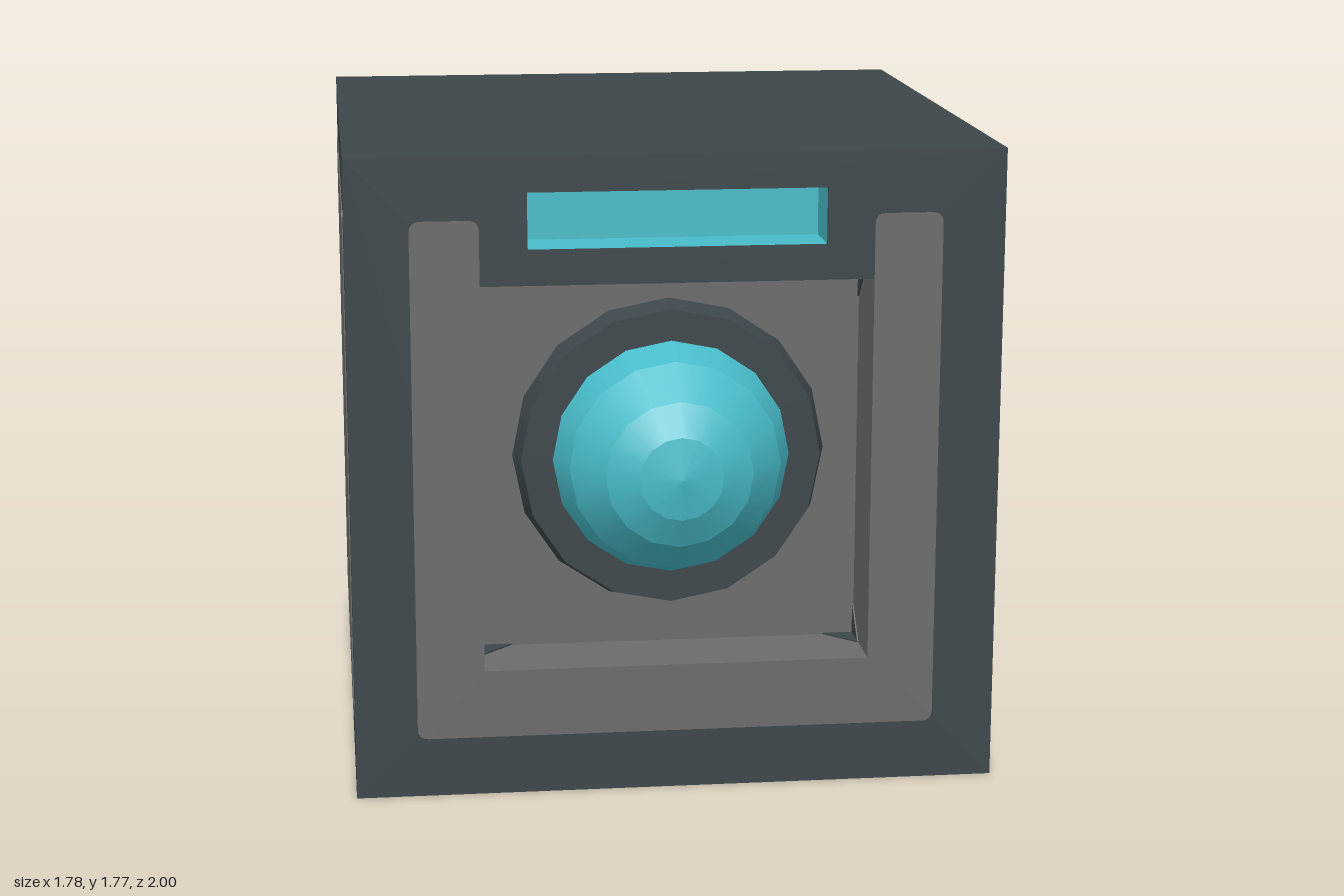
import * as THREE from 'three';

const HALF = 0.885, SIZE = HALF * 2;
const INNER = 0.665;                                  // z of the recess floor
const RECESS = { w: 1.06, h: 1.065, y: 0.8875, d: 0.22 };
const SLOT = { w: 0.8, h: 0.15, y: 1.595, d: 0.15 };
const BALL_Y = 0.905, BALL_R = 0.335;

const dark = new THREE.MeshStandardMaterial({ color: 0x3d474b });
dark.name = 'dark slate';
const grey = new THREE.MeshStandardMaterial({ color: 0x6c6c6c });
grey.name = 'panel grey';
const teal = new THREE.MeshStandardMaterial({ color: 0x48bcca });
teal.name = 'teal';

function add(parent, name, geometry, material, x = 0, y = 0, z = 0) {
  const mesh = new THREE.Mesh(geometry, material);
  mesh.name = name;
  mesh.position.set(x, y, z);
  parent.add(mesh);
  return mesh;
}

const extrude = (shape, depth) => new THREE.ExtrudeGeometry(shape, { depth, bevelEnabled: false, curveSegments: 4 });

function rectPoints(w, h, y) {
  return [[-w / 2, y - h / 2], [w / 2, y - h / 2], [w / 2, y + h / 2], [-w / 2, y + h / 2]]
    .map(([a, b]) => new THREE.Vector2(a, b));
}

// Closed outline; each point is [x, y, corner radius]
function roundedOutline(points) {
  const shape = new THREE.Shape();
  const n = points.length;
  points.forEach(([x, y, r], i) => {
    const toward = (p) => {
      const d = Math.hypot(p[0] - x, p[1] - y);
      return [x + (p[0] - x) * r / d, y + (p[1] - y) * r / d];
    };
    const a = toward(points[(i + n - 1) % n]);
    const b = toward(points[(i + 1) % n]);
    if (i === 0) shape.moveTo(...a); else shape.lineTo(...a);
    if (r > 0) shape.quadraticCurveTo(x, y, ...b);
  });
  shape.closePath();
  return shape;
}

// Inward-facing open box: back and four walls
function addLining(parent, name, { w, h, y, d }, material) {
  const g = new THREE.Group();
  g.name = name;
  g.position.set(0, y, HALF - d);
  add(g, name + 'Back', new THREE.PlaneGeometry(w, h), material, 0, 0, 0.002);
  for (const s of [-1, 1]) {
    add(g, name + 'Side', new THREE.PlaneGeometry(d, h).rotateY(-s * Math.PI / 2), material, s * w / 2, 0, d / 2);
    add(g, name + 'Level', new THREE.PlaneGeometry(w, d).rotateX(s * Math.PI / 2), material, 0, s * h / 2, d / 2);
  }
  parent.add(g);
}

const triangle = (a, b) => extrude(new THREE.Shape([
  new THREE.Vector2(0, 0), new THREE.Vector2(a, 0), new THREE.Vector2(0, b)]), 0.004);

// Dome rising along +z, creased between bands or smooth all over
function addDome(parent, creased) {
  const profile = [90, 78, 60, 37, 20, 0].map((deg) => {
    const t = THREE.MathUtils.degToRad(deg);
    return new THREE.Vector2(BALL_R * Math.sin(t), BALL_R * Math.cos(t));
  });
  const bands = creased ? profile.slice(1).map((p, i) => [profile[i], p]) : [profile];
  for (const band of bands) {
    add(parent, 'eyeDome', new THREE.LatheGeometry(band, 16).rotateX(Math.PI / 2), teal, 0, BALL_Y, INNER);
  }
}

function buildFace(name, creased) {
  const face = new THREE.Group();
  face.name = name;

  // Frame slab with openings for the recess and the slot
  const frame = new THREE.Shape(rectPoints(SIZE, SIZE, HALF));
  for (const o of [RECESS, SLOT]) {
    frame.holes.push(new THREE.Path(rectPoints(o.w + 0.004, o.h + 0.004, o.y)));
  }
  add(face, 'frame', extrude(frame, HALF - INNER), dark, 0, 0, INNER);
  addLining(face, 'recess', RECESS, grey);
  addLining(face, 'slot', SLOT, teal);

  // U-shaped panel around the recess
  const r = 0.03, x = 0.715, i = RECESS.w / 2, low = 0.355;
  const panel = roundedOutline([
    [-x, 0.165, r], [x, 0.165, r], [x, 1.6, r], [i, 1.6, r],
    [i, low, 0], [-i, low, 0], [-i, 1.6, r], [-x, 1.6, r],
  ]);
  // Side strips of the U beside the recess end at the tabs
  add(face, 'facePanel', extrude(panel, 0.003), grey, 0, 0, HALF);

  // Small dark corner patches on the recess walls
  const leg = 0.09, t = 0.004;
  for (const sx of [-1, 1]) for (const sy of [-1, 1]) {
    const cx = sx * RECESS.w / 2, cy = RECESS.y + sy * RECESS.h / 2;
    add(face, 'cornerPatch', triangle(leg, -sy * leg).rotateY(-Math.PI / 2), dark,
      sx < 0 ? cx + t : cx, cy, INNER);
    add(face, 'cornerPatch', triangle(-sx * leg, leg).rotateX(Math.PI / 2), dark,
      cx, sy < 0 ? cy + t : cy, INNER);
  }

  // Collar and dome
  const collarDepth = 0.07;
  add(face, 'eyeCollar', new THREE.CylinderGeometry(0.415, 0.435, collarDepth, 16).rotateX(Math.PI / 2),
    dark, 0, BALL_Y, INNER + collarDepth / 2);
  addDome(face, creased);
  return face;
}

export function createModel() {
  const model = new THREE.Group();
  model.name = 'cubeUnit';

  add(model, 'core', new THREE.BoxGeometry(SIZE, SIZE, INNER * 2), dark, 0, HALF, 0);

  const front = buildFace('frontFace', true);
  const back = buildFace('backFace', false);
  back.rotation.y = Math.PI;
  model.add(front, back);

  // Rounded panels on both sides
  const side = roundedOutline([[-0.72, 0.163, 0.03], [0.72, 0.163, 0.03], [0.72, 1.605, 0.03], [-0.72, 1.605, 0.03]]);
  for (const s of [-1, 1]) {
    add(model, s > 0 ? 'leftPanel' : 'rightPanel', extrude(side, 0.003).rotateY(s * Math.PI / 2), grey, s * HALF, 0, 0);
  }
  return model;
}
